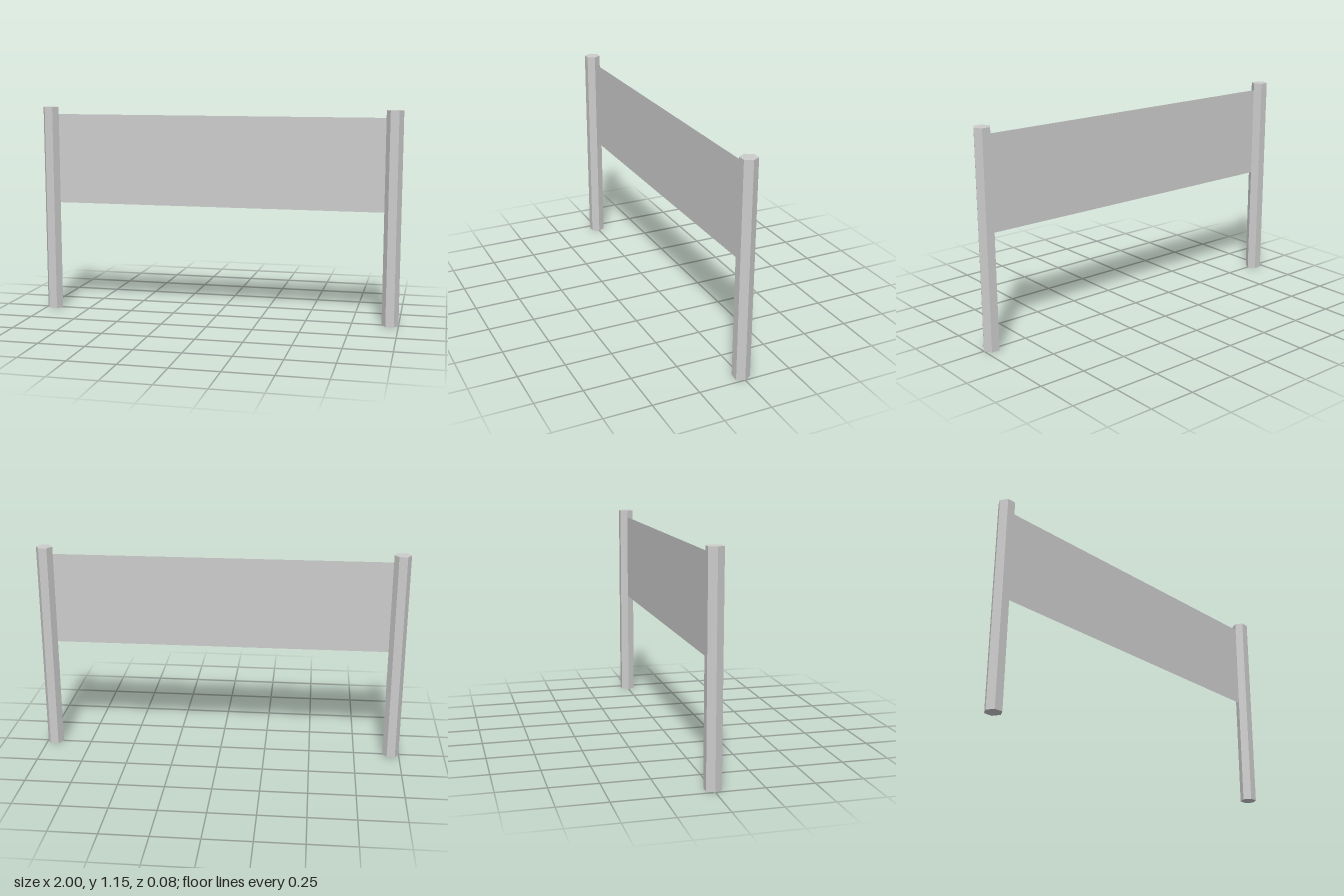
import * as THREE from 'three';

export function createModel() {
  const model = new THREE.Group();
  const grey = new THREE.MeshStandardMaterial({ color: 0xcccccc, flatShading: true });
  const sheet = new THREE.MeshStandardMaterial({ color: 0xcccccc, side: THREE.DoubleSide });

  const postRadius = 0.045, postHeight = 1.15, postX = 1 - postRadius;

  // Hexagonal posts, with a corner pointing towards the panel
  const postGeometry = new THREE.CylinderGeometry(postRadius, postRadius, postHeight, 6);
  postGeometry.rotateY(Math.PI / 6);
  for (const [name, side] of [['leftPost', 1], ['rightPost', -1]]) {
    const post = new THREE.Mesh(postGeometry, grey);
    post.name = name;
    post.position.set(side * postX, postHeight / 2, 0);
    model.add(post);
  }

  // Thin banner panel stretched between the inner corners of the posts
  const bottom = 0.61, top = 1.11;
  const panel = new THREE.Mesh(
    new THREE.PlaneGeometry(2 * (postX - postRadius), top - bottom), sheet);
  panel.name = 'bannerPanel';
  panel.position.y = (bottom + top) / 2;
  model.add(panel);

  return model;
}
